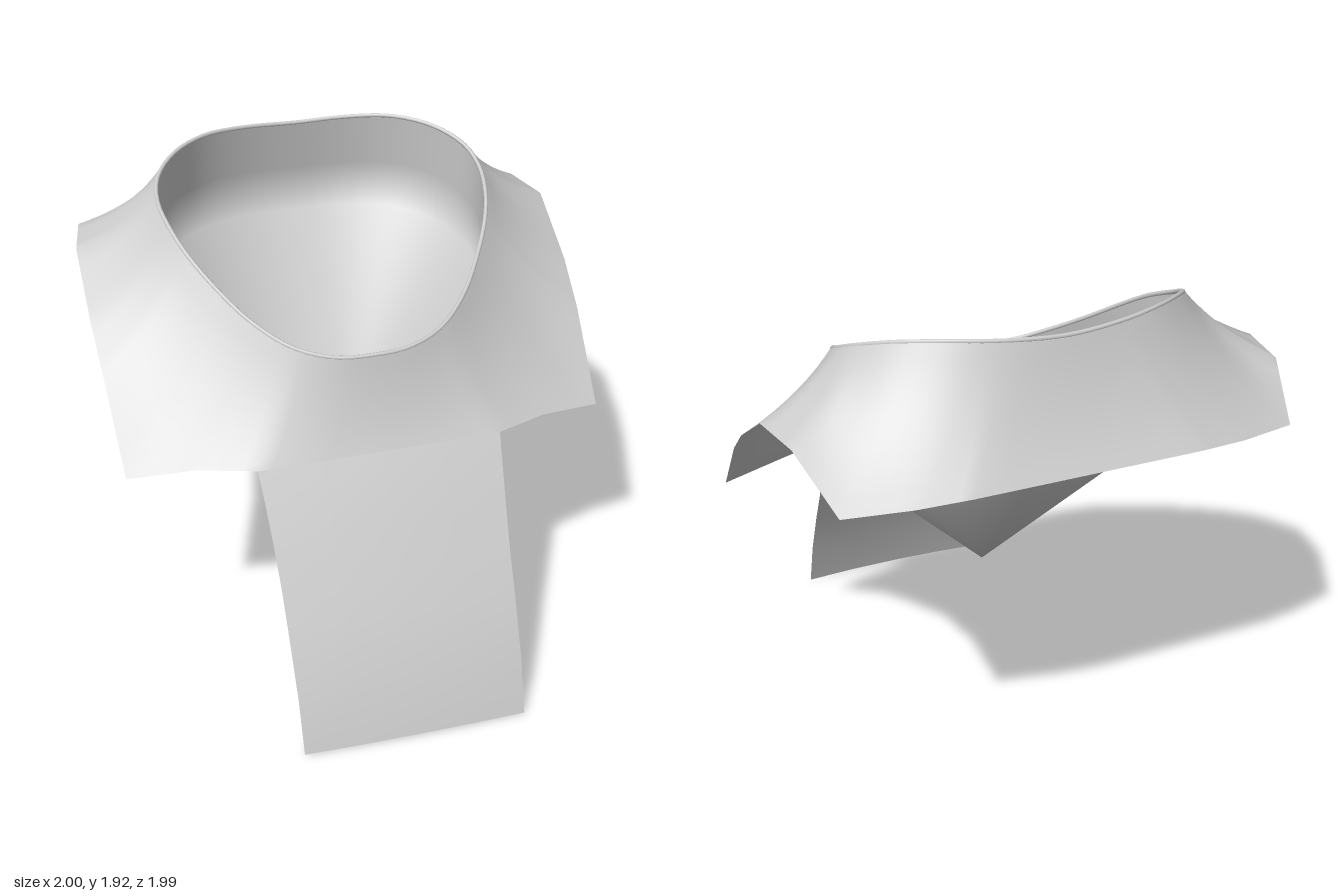
import * as THREE from 'three';

const cloth = new THREE.MeshStandardMaterial({ color: 0xcccccc, side: THREE.DoubleSide });
cloth.name = 'light grey';

// Surface through rows of points; closed rows wrap around
function loft(name, rows, closed) {
  const n = rows[0].length, index = [];
  for (let r = 0; r < rows.length - 1; r++) {
    for (let i = 0; i < (closed ? n : n - 1); i++) {
      const j = (i + 1) % n, a = r * n + i, b = r * n + j;
      index.push(a, a + n, b, b, a + n, b + n);
    }
  }
  return finish(name, rows.flat(), index);
}

function finish(name, points, index) {
  const geo = new THREE.BufferGeometry().setFromPoints(points);
  geo.setIndex(index);
  geo.computeVertexNormals();
  const mesh = new THREE.Mesh(geo, cloth);
  mesh.name = name;
  return mesh;
}

// Half outlines run from the front centre to the back centre
const rimHalf = [
  [0, 1.38, 0.37], [0.15, 1.385, 0.357], [0.3, 1.42, 0.3], [0.43, 1.49, 0.19],
  [0.53, 1.575, 0.06], [0.615, 1.67, -0.08], [0.66, 1.74, -0.2], [0.68, 1.8, -0.34],
  [0.655, 1.85, -0.46], [0.56, 1.895, -0.59], [0.41, 1.915, -0.7], [0.23, 1.91, -0.76], [0, 1.9, -0.78],
];
const hemHalf = [
  [0, 1.021, 0.492], [0.245, 1.0195, 0.489], [0.49, 1.015, 0.48], [0.71, 1.01, 0.4],
  [0.97, 0.98, 0.34], [0.99, 1.28, 0.05], [1, 1.42, -0.13], [1, 1.6, -0.42],
  [0.96, 1.6, -0.66], [0.88, 1.44, -0.9], [0.64, 1.455, -0.965], [0.44, 1.47, -1], [0, 1.47, -1],
];

function mirrorLoop(half) {
  const right = half.map(p => new THREE.Vector3(...p));
  const left = right.slice(1, -1).reverse().map(p => new THREE.Vector3(-p.x, p.y, p.z));
  return [...right, ...left];
}

export function createModel() {
  const group = new THREE.Group();
  group.name = 'collar';

  const STEP = 4;
  const rimPts = mirrorLoop(rimHalf), hemPts = mirrorLoop(hemHalf);
  const count = rimPts.length * STEP;
  const rimCurve = new THREE.CatmullRomCurve3(rimPts, true);
  const rim = [], hem = [];
  for (let i = 0; i < count; i++) {
    rim.push(rimCurve.getPoint(i / count));
    const k = Math.floor(i / STEP);
    hem.push(hemPts[k].clone().lerp(hemPts[(k + 1) % hemPts.length], (i % STEP) / STEP));
  }

  // Flaring yoke from the neck rim out to the straight-sided hem
  const yokeRows = [];
  for (let r = 0; r <= 10; r++) {
    const t = r / 10, a = (1 - t) ** 2, b = 2 * t * (1 - t), c = t * t;
    yokeRows.push(rim.map((p, i) => {
      const q = hem[i];
      const ctrl = new THREE.Vector3(
        p.x + (q.x - p.x) * 0.36, p.y + (q.y - p.y) * 0.58, p.z + (q.z - p.z) * 0.36);
      return new THREE.Vector3().addScaledVector(p, a).addScaledVector(ctrl, b).addScaledVector(q, c);
    }));
  }
  group.add(loft('yoke', yokeRows, true));

  // Slim rounded lip around the neck opening
  const inset = rim.map(p => new THREE.Vector3(p.x * 0.99, p.y - 0.002, -0.25 + (p.z + 0.25) * 0.99));
  const lip = new THREE.Mesh(
    new THREE.TubeGeometry(new THREE.CatmullRomCurve3(inset, true), 96, 0.009, 8, true), cloth);
  lip.name = 'neckLip';
  group.add(lip);

  // Inner wall drops to a broad, side-raised ring, then a cone tapers to a low point
  const soft = v => Math.sign(v) * Math.abs(v) ** 0.85;
  const ring = rim.map(p => {
    const angle = Math.atan2(p.x / 0.68, (p.z + 0.205) / 0.575);
    const x = 0.69 * soft(Math.sin(angle)), z = -0.245 + 0.62 * soft(Math.cos(angle));
    return new THREE.Vector3(x, 1.14 - 0.368 * z + 0.2 * x * x, z);
  });
  const wallRows = [0, 0.5, 1].map(t => inset.map((p, i) => p.clone().lerp(ring[i], t)));
  const points = [...wallRows.flat(), new THREE.Vector3(0.02, 0.64, -0.11)];
  const index = [];
  for (let r = 0; r < wallRows.length; r++) {
    for (let i = 0; i < count; i++) {
      const j = (i + 1) % count, a = r * count + i, b = r * count + j;
      if (r === wallRows.length - 1) index.push(a, b, points.length - 1);
      else index.push(a, b, a + count, b, b + count, a + count);
    }
  }
  group.add(finish('innerBowl', points, index));

  // Long front panel, bowing gently forward: [half width, y, z]
  const panel = [
    [0.49, 1.015, 0.48], [0.48, 0.9, 0.55], [0.47, 0.75, 0.635], [0.463, 0.6, 0.715],
    [0.46, 0.45, 0.795], [0.455, 0.22, 0.905], [0.452, 0, 0.978],
  ];
  const panelRows = panel.map(([w, y, z]) => [-1, -0.5, 0, 0.5, 1].map(s => new THREE.Vector3(
    s * w, y + 0.006 * (1 - s * s), z + 0.012 * (1 - s * s) + 0.012 * s * (1 - y / 1.015))));
  group.add(loft('frontPanel', panelRows, false));

  return group;
}
